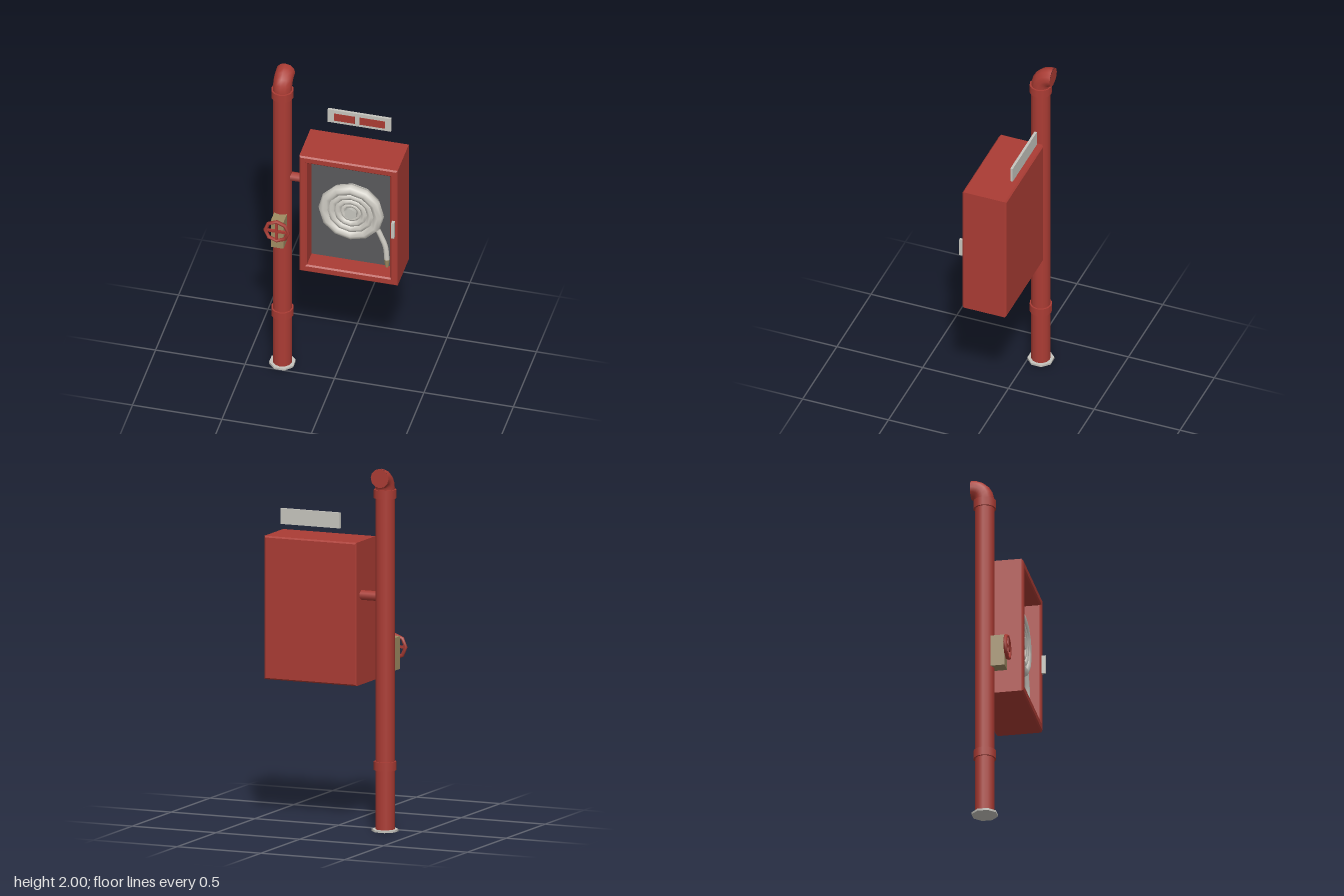
import * as THREE from 'three';

const mat = (name, color, side = THREE.FrontSide) => {
  const m = new THREE.MeshStandardMaterial({ color, side });
  m.name = name;
  return m;
};

export function createModel() {
  const root = new THREE.Group();
  root.name = 'fireHoseStation';
  const red = mat('red paint', 0xab3c34);
  const grey = mat('light grey', 0xc6c5be);
  const dark = mat('dark panel', 0x5a5a5c);
  const hoseMat = mat('pale hose', 0xcfccc4, THREE.DoubleSide);
  const brass = mat('brass', 0x9f8b62);

  const add = (name, geo, material, x = 0, y = 0, z = 0, parent = root) => {
    const mesh = new THREE.Mesh(geo, material);
    mesh.name = name;
    mesh.position.set(x, y, z);
    parent.add(mesh);
    return mesh;
  };
  // box given by its limits
  const box = (name, material, x0, x1, y0, y1, z0, z1) =>
    add(name, new THREE.BoxGeometry(x1 - x0, y1 - y0, z1 - z0), material,
      (x0 + x1) / 2, (y0 + y1) / 2, (z0 + z1) / 2);
  const cyl = (r, h, n) => new THREE.CylinderGeometry(r, r, h, n);

  // standpipe with collars and foot flange
  const px = -0.308, pz = -0.066;
  add('standpipe', cyl(0.053, 1.87, 12), red, px, 0.94, pz);
  for (const y of [0.36, 1.853]) add('pipeCollar', cyl(0.062, 0.048, 12), red, px, y, pz);
  add('footFlange', cyl(0.073, 0.012, 8).rotateY(Math.PI / 8), grey, px, 0.006, pz);

  // elbow turning to the wall, with a closed end
  const elbow = new THREE.QuadraticBezierCurve3(
    new THREE.Vector3(px, 1.865, pz),
    new THREE.Vector3(px, 1.944, pz),
    new THREE.Vector3(px, 1.946, -0.138));
  add('elbow', new THREE.TubeGeometry(elbow, 6, 0.053, 12), red);
  add('elbowEnd', new THREE.CircleGeometry(0.053, 12).rotateY(Math.PI), red, px, 1.946, -0.138);

  // branch pipe into the cabinet
  add('branchPipe', cyl(0.027, 0.13, 6).rotateY(Math.PI / 2).rotateZ(Math.PI / 2), red, -0.222, 1.287, -0.07);

  // valve and hand wheel
  box('valveBody', brass, -0.343, -0.272, 0.875, 1.055, -0.06, 0.05);
  const wheel = new THREE.Group();
  wheel.name = 'handWheel';
  wheel.position.set(px, 0.995, 0.059);
  root.add(wheel);
  add('wheelRim', new THREE.TorusGeometry(0.064, 0.011, 6, 8), red, 0, 0, 0, wheel);
  add('wheelSpoke', new THREE.BoxGeometry(0.125, 0.014, 0.012), red, 0, 0, 0, wheel);
  add('wheelSpoke', new THREE.BoxGeometry(0.014, 0.125, 0.012), red, 0, 0, 0, wheel);

  // cabinet shell with bevelled rim around the opening
  const bevel = 0.008;
  const rect = (P, x0, x1, y0, y1) => new P([[x0, y0], [x1, y0], [x1, y1], [x0, y1]]
    .map(([x, y]) => new THREE.Vector2(x, y)));
  const face = rect(THREE.Shape, -0.168 + bevel, 0.382 - bevel, 0.795 + bevel, 1.582 - bevel);
  face.holes.push(rect(THREE.Path, -0.125 - bevel, 0.34 + bevel, 0.842 - bevel, 1.537 + bevel));
  const shell = new THREE.ExtrudeGeometry(face, {
    depth: 0.256 - 2 * bevel, bevelEnabled: true, bevelSize: bevel, bevelThickness: bevel, bevelSegments: 1,
  });
  add('cabinetShell', shell, red, 0, 0, -0.138 + bevel);
  box('cabinetBack', red, -0.14, 0.355, 0.827, 1.552, -0.138, 0.005);
  box('cabinetLining', dark, -0.125, 0.34, 0.842, 1.537, 0.002, 0.011);
  box('doorHandle', grey, 0.353, 0.369, 1.136, 1.241, 0.115, 0.14);

  // coiled hose: concentric rings on a drum
  const coil = new THREE.Group();
  coil.name = 'hoseCoil';
  coil.position.set(0.107, 1.205, 0.045);
  root.add(coil);
  add('coilDrum', cyl(0.165, 0.034, 12).rotateX(Math.PI / 2), hoseMat, 0, 0, -0.014, coil);
  for (const [R, r] of [[0.152, 0.031], [0.111, 0.024], [0.076, 0.021], [0.047, 0.014]])
    add('hoseRing', new THREE.TorusGeometry(R, r, 8, 12), hoseMat, 0, 0, 0.006, coil);
  add('coilHub', cyl(0.037, 0.045, 6).rotateX(Math.PI / 2), grey, 0, 0, 0.01, coil);

  // loose hose end and nozzle
  const tail = new THREE.CatmullRomCurve3([
    [0.245, 1.13], [0.272, 1.07], [0.298, 1.0], [0.306, 0.915],
  ].map(([x, y]) => new THREE.Vector3(x, y, 0.05)));
  add('hoseTail', new THREE.TubeGeometry(tail, 10, 0.015, 8), hoseMat);
  add('nozzle', new THREE.CylinderGeometry(0.016, 0.01, 0.05, 8), brass, 0.306, 0.892, 0.05);

  // wall sign with two painted panels
  box('wallSign', grey, -0.07, 0.284, 1.655, 1.741, -0.138, -0.124);
  for (const [x0, x1] of [[-0.034, 0.082], [0.108, 0.251]])
    box('signPanel', red, x0, x1, 1.671, 1.719, -0.126, -0.122);

  return root;
}
